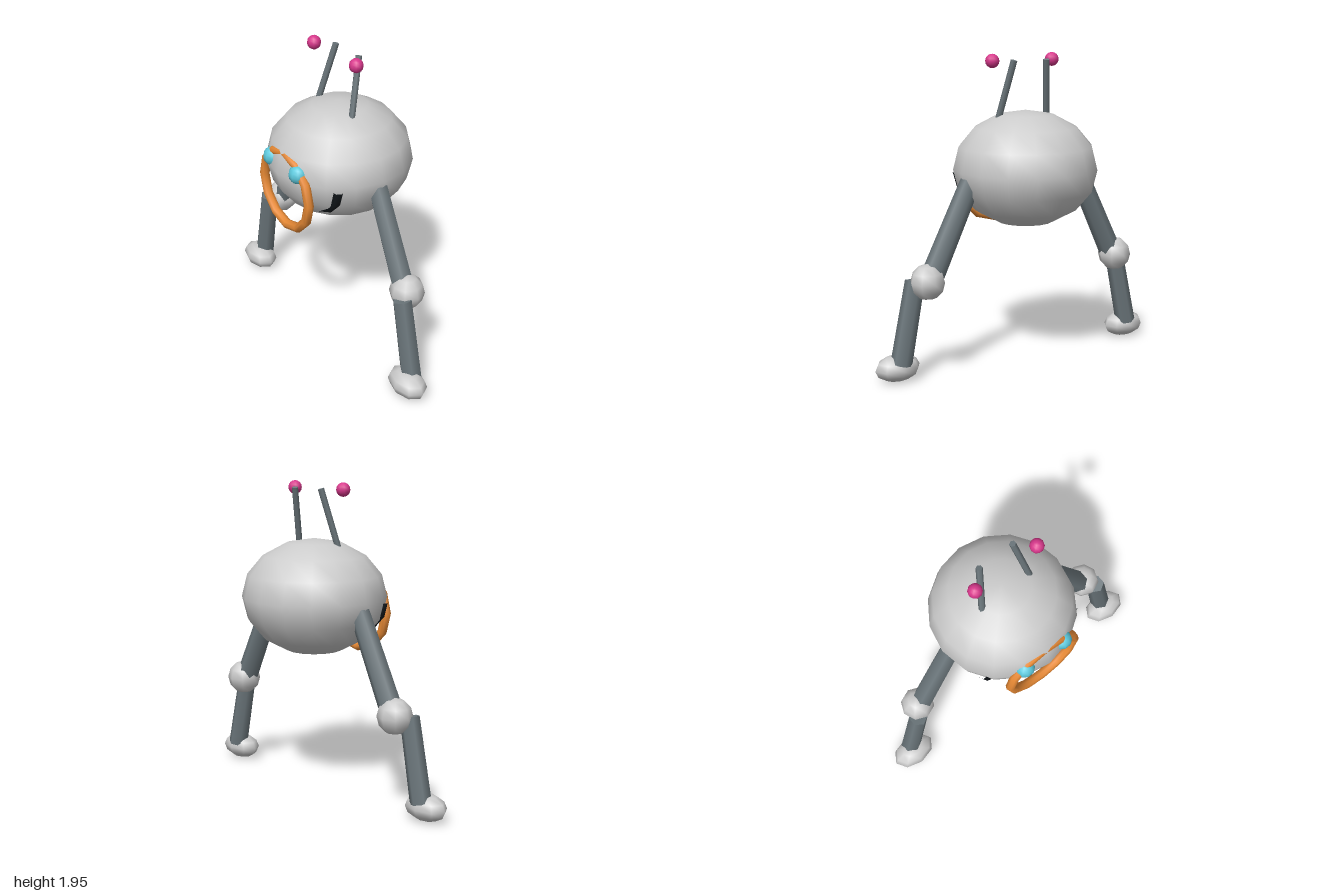
import * as THREE from 'three';

const mat = (color) => new THREE.MeshStandardMaterial({ color });
const shell = mat(0xcccccc);
const steel = mat(0x6c777c);
const black = mat(0x11161a);
const orange = mat(0xe88a35);
const blue = mat(0x5cc8dc);
const pink = mat(0xd8388c);

export function createModel() {
  const model = new THREE.Group();
  model.name = 'robot';

  const add = (name, geometry, material, x, y, z) => {
    const mesh = new THREE.Mesh(geometry, material);
    mesh.name = name;
    mesh.position.set(x, y, z);
    model.add(mesh);
    return mesh;
  };

  // Low-sided ellipsoid
  const ball = (name, material, pos, radii, w, h) => {
    const mesh = add(name, new THREE.SphereGeometry(1, w, h), material, ...pos);
    mesh.scale.set(...radii);
    return mesh;
  };

  // Cylinder running from a (top) to b (bottom)
  const rod = (name, a, b, rTop, rBottom, sides) => {
    const top = new THREE.Vector3(...a);
    const bottom = new THREE.Vector3(...b);
    const axis = top.clone().sub(bottom);
    const geometry = new THREE.CylinderGeometry(rTop, rBottom, axis.length(), sides);
    const mid = top.add(bottom).multiplyScalar(0.5);
    const mesh = add(name, geometry, steel, mid.x, mid.y, mid.z);
    mesh.quaternion.setFromUnitVectors(new THREE.Vector3(0, 1, 0), axis.normalize());
    return mesh;
  };

  ball('body', shell, [0, 1.25, 0], [0.45, 0.36, 0.45], 16, 8);

  // Ring on the front, its top edge sunk into the body
  const ring = add('frontRing', new THREE.TorusGeometry(0.245, 0.03, 8, 12), orange, 0, 1.125, 0.39);
  ring.rotation.z = Math.PI / 2;

  // Dark curved band, seen on both cheeks
  const band = add('mouthBand', new THREE.TorusGeometry(0.345, 0.032, 6, 8, Math.PI), black, 0, 1.22, 0.25);
  band.rotation.z = Math.PI;
  band.scale.y = 0.66;

  for (const [side, s] of [['left', 1], ['right', -1]]) {
    ball(side + 'Eye', blue, [s * 0.14, 1.29, 0.39], [0.06, 0.06, 0.06], 10, 8);

    // Antenna with a separate tip ball
    rod(side + 'Antenna', [s * 0.115, 1.915, -0.055], [s * 0.183, 1.5, 0.05], 0.02, 0.02, 6);
    ball(side + 'AntennaTip', pink, [s * 0.213, 1.91, 0.035], [0.043, 0.043, 0.043], 10, 8);

    // Leg: thigh, knee, shin and foot
    rod(side + 'UpperLeg', [s * 0.39, 1.195, 0], [s * 0.68, 0.6, 0], 0.063, 0.072, 6);
    ball(side + 'Knee', shell, [s * 0.69, 0.62, -0.005], [0.108, 0.11, 0.108], 8, 6);
    rod(side + 'LowerLeg', [s * 0.74, 0.615, 0.068], [s * 0.845, 0.11, 0.062], 0.06, 0.066, 6);
    ball(side + 'Foot', shell, [s * 0.853, 0.082, 0.098], [0.147, 0.082, 0.098], 8, 6);
  }

  return model;
}
